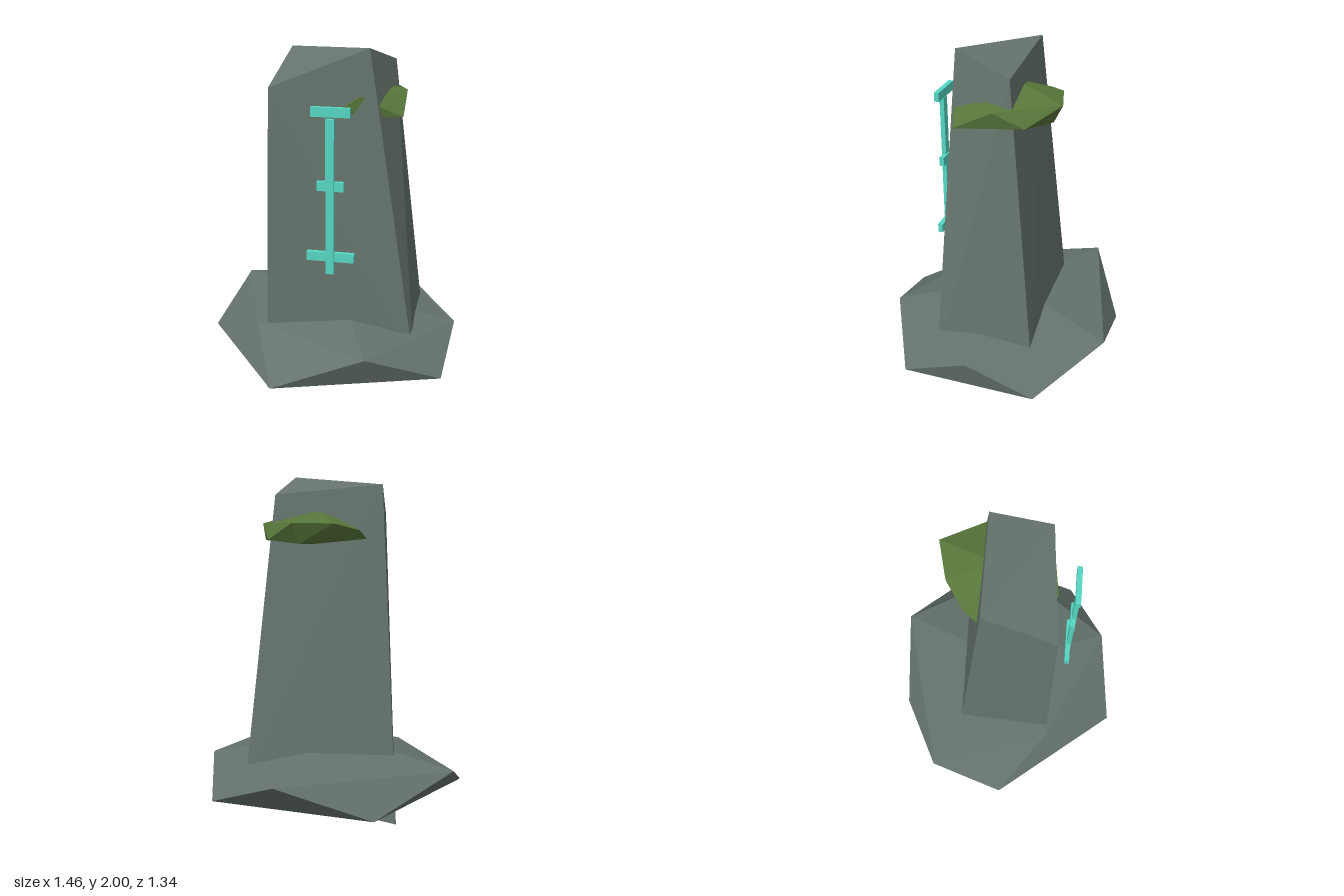
import * as THREE from 'three';
import { ConvexGeometry } from 'three/addons/geometries/ConvexGeometry.js';

const stone = new THREE.MeshStandardMaterial({ color: 0x65736c });
stone.name = 'stone';
const moss = new THREE.MeshStandardMaterial({ color: 0x58763a });
moss.name = 'moss';
const glow = new THREE.MeshStandardMaterial({ color: 0x55d6c2 });
glow.name = 'turquoise';

// Faceted rock from its corner points
function rock(name, corners, material) {
  const points = corners.map(([x, y, z]) => new THREE.Vector3(x, y, z));
  const mesh = new THREE.Mesh(new ConvexGeometry(points), material);
  mesh.name = name;
  return mesh;
}

// Box given by its centre and size
function bar(name, x, y, z, w, h, d) {
  const mesh = new THREE.Mesh(new THREE.BoxGeometry(w, h, d), glow);
  mesh.position.set(x, y, z);
  mesh.name = name;
  return mesh;
}

export function createModel() {
  const model = new THREE.Group();
  model.name = 'standingStone';

  // Tapering, leaning pillar: four top corners, four bottom corners
  model.add(rock('pillar', [
    [-0.285, 1.79, 0.26], [0.24, 2.0, 0.2], [0.335, 1.905, -0.12], [-0.245, 1.96, -0.11],
    [-0.337, 0, 0.27], [0.53, 0.235, 0.255], [0.515, 0.3, -0.31], [-0.33, 0.085, -0.305],
  ], stone));

  // Flattened boulder around the foot: upper ring, lower ring, two tips
  model.add(rock('baseBoulder', [
    [0.3, 0.43, 0.59], [0.73, 0.415, 0], [0.33, 0.44, -0.67], [-0.63, 0.44, -0.41], [-0.38, 0.415, 0.27],
    [-0.2, 0.245, 0.665], [0.69, 0.25, 0.38], [0.69, 0.25, -0.37], [-0.19, 0.245, -0.64], [-0.73, 0.245, 0],
    [0.05, 0.54, 0], [-0.02, 0.125, 0],
  ], stone));

  // Moss clump wrapped round the upper back and left
  model.add(rock('mossClump', [
    [0.41, 1.75, -0.05], [0.415, 1.645, 0.155], [0.295, 1.7, 0.195], [0.33, 1.77, 0],
    [0.235, 1.765, -0.365], [0.37, 1.67, -0.21], [0.2, 1.655, -0.31], [0.02, 1.76, -0.31],
    [-0.12, 1.72, -0.21], [-0.16, 1.67, -0.14], [0.1, 1.83, -0.05],
    [0.03, 1.645, 0.252], [0.2, 1.755, 0.219], [0.1, 1.64, -0.1],
  ], moss));

  // Rune floating before the front face: an upright and three crossbars
  const rune = new THREE.Group();
  rune.name = 'rune';
  rune.add(bar('runeUpright', 0.065, 1.235, 0.353, 0.045, 0.85, 0.025));
  for (const [y, width, height] of [[1.695, 0.205, 0.05], [1.302, 0.145, 0.05], [0.906, 0.26, 0.05]]) {
    rune.add(bar('runeCrossbar', 0.066, y, 0.347, width, height, 0.027));
  }
  model.add(rune);
  return model;
}
